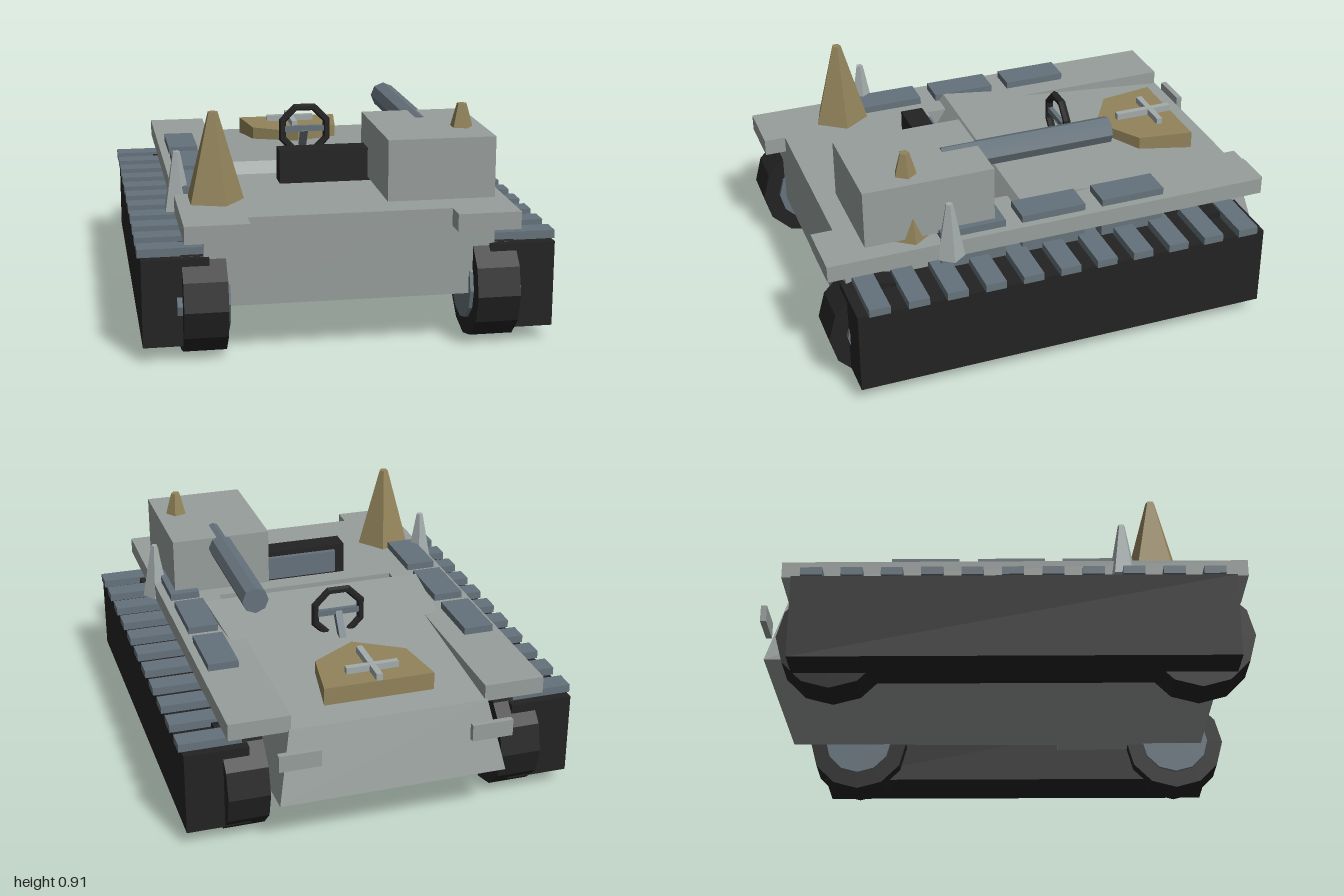
import * as THREE from 'three';

const paint = (name, color) => {
  const m = new THREE.MeshStandardMaterial({ color, flatShading: true });
  m.name = name;
  return m;
};

export function createModel() {
  const model = new THREE.Group();
  model.name = 'trackedVehicle';
  const grey = paint('hullGrey', 0x979e9b);
  const pale = paint('paleGrey', 0xa3abab);
  const slate = paint('slateBlue', 0x65727b);
  const black = paint('rubberBlack', 0x232323);
  const gold = paint('dullGold', 0x91835a);

  const add = (name, geometry, material, x = 0, y = 0, z = 0) => {
    const mesh = new THREE.Mesh(geometry, material);
    mesh.name = name;
    mesh.position.set(x, y, z);
    model.add(mesh);
    return mesh;
  };
  // Box given by its limits on each axis
  const box = (name, material, x0, x1, y0, y1, z0, z1) =>
    add(name, new THREE.BoxGeometry(x1 - x0, y1 - y0, z1 - z0), material,
      (x0 + x1) / 2, (y0 + y1) / 2, (z0 + z1) / 2);
  const sideBox = (name, material, side, x0, x1, ...rest) =>
    box(name, material, Math.min(side * x0, side * x1), Math.max(side * x0, side * x1), ...rest);
  // Five-sided spike standing on y0, one corner towards +x
  const spike = (name, material, x, z, y0, y1, r0, r1) => {
    const g = new THREE.CylinderGeometry(r1, r0, y1 - y0, 5).rotateY(Math.PI / 2);
    add(name, g, material, x, (y0 + y1) / 2, z);
  };

  // Front hull block
  box('frontHull', grey, -0.57, 0.57, 0.21, 0.56, 0.24, 0.9);

  // Rear hull: a block with a rising deck, sloped ends and tapered sides
  const rear = new THREE.BoxGeometry(2, 2, 2);
  const p = rear.attributes.position;
  for (let i = 0; i < p.count; i++) {
    const sx = p.getX(i), top = p.getY(i) > 0, front = p.getZ(i) > 0;
    if (top) p.setXYZ(i, sx * (front ? 0.49 : 0.41), front ? 0.59 : 0.5, front ? 0.135 : -0.9);
    else p.setXYZ(i, sx * (front ? 0.49 : 0.47), 0.21, front ? 0.38 : -0.975);
  }
  rear.computeVertexNormals();
  add('rearHull', rear, grey);

  for (const s of [1, -1]) {
    // Side decks, tail blocks and deck panels
    sideBox('sideDeck', grey, s, 0.4, 0.65, 0.49, 0.56, -0.895, 0.99);
    sideBox('tailBlock', grey, s, 0.31, 0.48, 0.38, 0.45, -1, -0.975);
    for (const z of [-0.315, 0.035, 0.38])
      sideBox('deckPanel', slate, s, 0.49, 0.617, 0.42, 0.59, z - 0.137, z + 0.137);

    // Track with tread plates along the top
    sideBox('track', black, s, 0.55, 0.81, 0.065, 0.412, -0.83, 0.92);
    for (let i = 0; i < 11; i++) {
      const z = -0.75 + i * 0.1583;
      sideBox('treadPlate', slate, s, 0.57, 0.822, 0.412, 0.445, z - 0.043, z + 0.043);
    }

    // Wheels and hubs, with a corner pointing straight down
    for (const z of [0.78, -0.68]) {
      add('wheel', new THREE.CylinderGeometry(0.22, 0.22, 0.17, 12).rotateZ(Math.PI / 2),
        black, s * 0.57, 0.222, z);
      add('wheelHub', new THREE.CylinderGeometry(0.15, 0.15, 0.205, 12).rotateZ(Math.PI / 2),
        slate, s * 0.573, 0.225, z);
    }

    // Spikes on the deck and at its edge
    spike('largeSpike', gold, s * 0.5, 0.62, 0.56, 0.915, 0.12, 0.02);
    spike('smallSpike', pale, s * 0.635, 0.485, 0.49, 0.73, 0.06, 0.015);
  }

  // Seat and instrument panel
  box('seat', black, -0.207, 0.207, 0.25, 0.53, 0.16, 0.26);
  box('dashboard', black, -0.207, 0.207, 0.55, 0.697, 0.325, 0.42);
  box('instrumentPanel', slate, -0.16, 0.16, 0.575, 0.675, 0.303, 0.326);

  // Eight-sided steering wheel with its spoke and column
  add('steeringWheel', new THREE.TorusGeometry(0.108, 0.017, 6, 8).rotateZ(Math.PI / 8),
    black, 0, 0.64, -0.232);
  box('steeringSpoke', slate, -0.1, 0.1, 0.63, 0.655, -0.243, -0.223);
  const column = box('steeringColumn', slate, -0.015, 0.015, 0.53, 0.65, -0.28, -0.25);
  column.rotation.x = 0.6;

  // Turret and gun
  box('turret', grey, 0.16, 0.59, 0.575, 0.82, 0.28, 0.82);
  add('gunBarrel', new THREE.CylinderGeometry(0.056, 0.056, 0.73, 8).rotateX(Math.PI / 2),
    slate, 0.375, 0.772, 0.065);

  // Shield on the rear deck, point forwards
  const outline = new THREE.Shape([
    [-0.23, 0.775], [-0.195, 0.54], [0, 0.417], [0.195, 0.54], [0.23, 0.775],
  ].map(([x, y]) => new THREE.Vector2(x, y)));
  const shield = new THREE.ExtrudeGeometry(outline, { depth: 0.075, bevelEnabled: false });
  add('shield', shield.rotateX(-Math.PI / 2), gold, 0, 0.51, 0);
  box('crossUpright', pale, -0.013, 0.013, 0.585, 0.614, -0.772, -0.515);
  box('crossArm', pale, -0.11, 0.11, 0.586, 0.613, -0.688, -0.662);

  return model;
}
